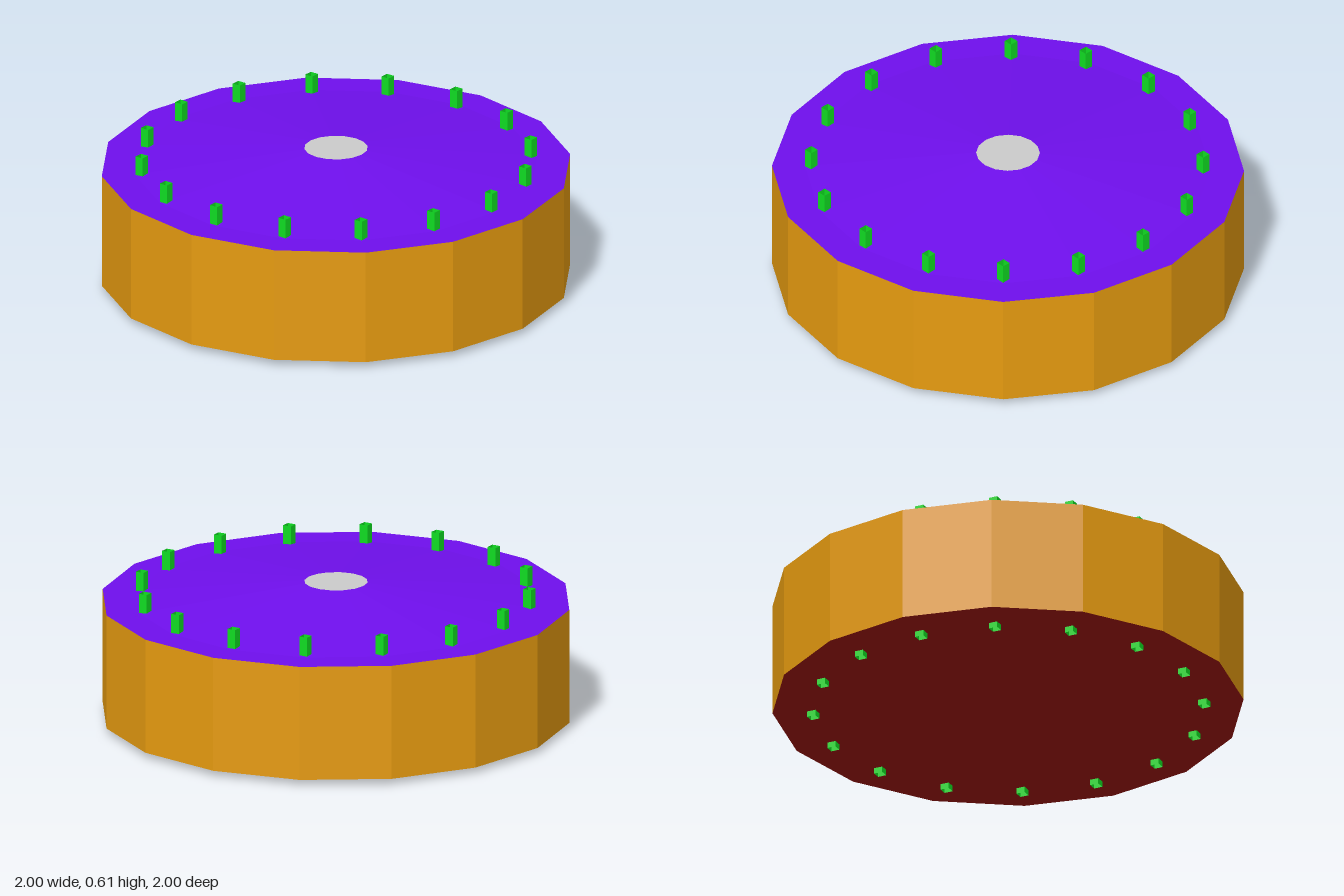
import * as THREE from 'three';

const SIDES = 16;
const BOTTOM = 0.025, RIM = 0.525, PEAK = 0.605, TOP = 0.61;

function material(color) {
  return new THREE.MeshStandardMaterial({ color, flatShading: true, side: THREE.DoubleSide });
}

function add(parent, name, geometry, mat, x = 0, y = 0, z = 0) {
  const mesh = new THREE.Mesh(geometry, mat);
  mesh.name = name;
  mesh.position.set(x, y, z);
  parent.add(mesh);
  return mesh;
}

export function createModel() {
  const model = new THREE.Group();
  model.name = 'drum';

  // Faceted side wall
  const wall = new THREE.CylinderGeometry(1, 1, RIM - BOTTOM, SIDES, 1, true);
  add(model, 'sideWall', wall, material(0xe69b10), 0, (RIM + BOTTOM) / 2, 0);

  // Flat rim rising as a shallow cone to the centre
  const profile = [[1, RIM], [0.86, RIM], [0.135, PEAK]].map(([r, y]) => new THREE.Vector2(r, y));
  add(model, 'topCover', new THREE.LatheGeometry(profile, SIDES), material(0x6f0fec));

  // Small flat disc closing the cone
  const disc = new THREE.CircleGeometry(0.135, SIDES).rotateX(-Math.PI / 2);
  add(model, 'centreDisc', disc, material(0xcccccc), 0, PEAK, 0);

  // Underside
  const base = new THREE.CircleGeometry(1, SIDES).rotateX(Math.PI / 2);
  add(model, 'underside', base, material(0xa01510), 0, BOTTOM, 0);

  // Ring of open square rods, all aligned with the axes
  const rods = new THREE.Group();
  rods.name = 'rods';
  model.add(rods);
  const rod = new THREE.CylinderGeometry(0.027, 0.027, TOP, 4, 1, true, Math.PI / 4);
  const green = material(0x10dd22);
  for (let i = 0; i < SIDES; i++) {
    const a = (i / SIDES) * Math.PI * 2;
    add(rods, 'rod', rod, green, 0.83 * Math.sin(a) - 0.002, TOP / 2, 0.83 * Math.cos(a) + 0.003);
  }
  return model;
}
